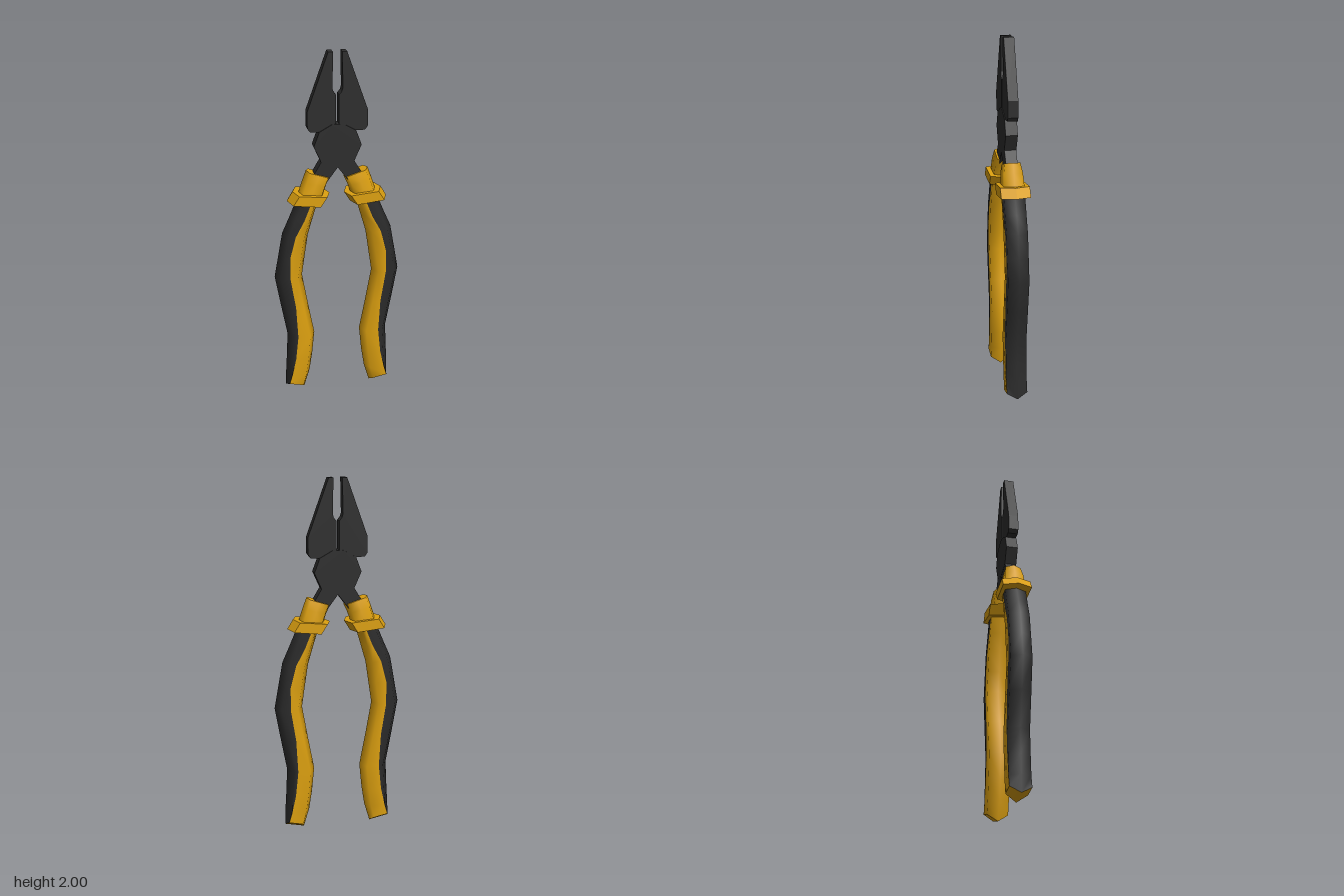
import * as THREE from 'three';

const steel = new THREE.MeshStandardMaterial({ color: 0x2d2d2d });
steel.name = 'dark steel';
const rubber = new THREE.MeshStandardMaterial({ color: 0x2b2b2b });
rubber.name = 'black rubber';
const yellow = new THREE.MeshStandardMaterial({ color: 0xdca010 });
yellow.name = 'yellow plastic';

// Flat plate cut from an outline, centred on z = 0; side -1 mirrors it.
function plate(name, outline, depth, side = 1) {
  const shape = new THREE.Shape(outline.map(([x, y]) => new THREE.Vector2(x * side, y)));
  const geo = new THREE.ExtrudeGeometry(shape, { depth, bevelEnabled: false });
  geo.translate(0, 0, -depth / 2);
  const mesh = new THREE.Mesh(geo, steel);
  mesh.name = name;
  return mesh;
}

// Six-sided section from the outer ridge to the inner ridge, with an extra point on each
// flat face where the colour changes. lift raises the shoulders above the ridges.
function section({ outer, inner, z, border, inset = 0.13, lift = 0 }, side) {
  const width = outer[0] - inner[0];
  const b = border === undefined ? 0.5 : Math.max(inset + 0.02, (outer[0] - border) / width);
  const at = (t, pz) => [
    side * (outer[0] - width * t),
    outer[1] + (inner[1] - outer[1]) * t + (pz ? lift : 0),
    pz,
  ];
  const far = 1 - inset;
  return [at(0, 0), at(inset, z), at(b, z), at(far, z),
    at(1, 0), at(far, -z), at(b, -z), at(inset, -z)];
}

// Skin sections listed from top to bottom; strips in blackStrips use the second material.
function loft(rows, side, { blackStrips = [], top = false, bottom = false, flat = false } = {}) {
  const rings = rows.map((row) => section(row, side));
  const n = rings[0].length;
  const points = rings.flat();
  const faces = [[], []];
  const add = (group, a, b, c) => faces[group].push(...(side > 0 ? [a, b, c] : [a, c, b]));
  for (let r = 0; r < rings.length - 1; r++) {
    for (let k = 0; k < n; k++) {
      const a = r * n + k, b = r * n + ((k + 1) % n);
      const group = blackStrips.includes(k) ? 1 : 0;
      add(group, a, b, a + n);
      add(group, b, b + n, a + n);
    }
  }
  const cap = (ring, isTop) => {
    const start = points.length;
    const mid = [0, 1, 2].map((i) => (ring[0][i] + ring[4][i]) / 2);
    points.push(...ring, mid);
    for (let k = 0; k < n; k++) {
      const a = start + k, b = start + ((k + 1) % n);
      if (isTop) add(0, start + n, b, a);
      else add(0, start + n, a, b);
    }
  };
  if (top) cap(rings[0], true);
  if (bottom) cap(rings[rings.length - 1], false);

  let geo = new THREE.BufferGeometry();
  geo.setAttribute('position', new THREE.Float32BufferAttribute(points.flat(), 3));
  geo.setIndex([...faces[0], ...faces[1]]);
  if (flat) geo = geo.toNonIndexed();
  geo.computeVertexNormals();
  if (blackStrips.length) {
    geo.addGroup(0, faces[0].length, 0);
    geo.addGroup(faces[0].length, faces[1].length, 1);
  }
  return geo;
}

// Grip path: outer x, y, inner x, y, x of the colour border
const gripRows = [
  [0.225, 1.19, 0.105, 1.18, 0.15],
  [0.267, 1.09, 0.135, 1.08, 0.19],
  [0.307, 1.0, 0.164, 0.98, 0.24],
  [0.331, 0.87, 0.182, 0.86, 0.272],
  [0.355, 0.737, 0.2, 0.737, 0.273],
  [0.325, 0.56, 0.168, 0.55, 0.245],
  [0.29, 0.366, 0.133, 0.361, 0.235],
  [0.297, 0.22, 0.147, 0.22, 0.25],
  [0.303, 0.12, 0.164, 0.11, 0.28],
].map(([ox, oy, ix, iy, border]) => ({ outer: [ox, oy], inner: [ix, iy], z: 0.058, border, inset: 0.2 }));
gripRows.push({ outer: [0.305, 0.025], inner: [0.196, 0.002], z: 0.058, border: 0.29, inset: 0.12, lift: 0.035 });

const sleeveRows = [
  { outer: [0.17, 1.358], inner: [0.037, 1.315], z: 0.042 },
  { outer: [0.19, 1.305], inner: [0.058, 1.27], z: 0.052 },
  { outer: [0.225, 1.2], inner: [0.085, 1.19], z: 0.058 },
];

const collarRows = [
  { outer: [0.245, 1.24], inner: [0.04, 1.22], z: 0.08 },
  { outer: [0.277, 1.188], inner: [0.075, 1.165], z: 0.08 },
];

const jawOutline = [
  [0.008, 1.6], [0.1, 1.576], [0.148, 1.576], [0.163, 1.597], [0.163, 1.687],
  [0.05, 2], [0.024, 2], [0.028, 1.81], [0.022, 1.79], [0.008, 1.773],
];

const armOutline = [[0, 1.374], [0.07, 1.28], [0.155, 1.3], [0.09, 1.408], [0, 1.45]];

const pivotHalf = [[0.03, 1.615], [0.1, 1.576], [0.13, 1.496], [0.09, 1.405]];

export function createModel() {
  const model = new THREE.Group();
  model.name = 'pliers';

  // Joint between the two halves
  const mirrored = pivotHalf.map(([x, y]) => [-x, y]).reverse();
  model.add(plate('pivotBody', [...pivotHalf, [0, 1.374], ...mirrored], 0.066));

  // Mirrored halves
  for (const side of [1, -1]) {
    const half = new THREE.Group();
    half.name = side > 0 ? 'leftHalf' : 'rightHalf';
    half.add(plate('jaw', jawOutline, 0.056, side));
    half.add(plate('arm', armOutline, 0.064, side));

    const part = (name, geo, material) => {
      const mesh = new THREE.Mesh(geo, material);
      mesh.name = name;
      half.add(mesh);
    };
    part('sleeve', loft(sleeveRows, side, { top: true }), yellow);
    part('collar', loft(collarRows, side, { top: true, bottom: true, flat: true }), yellow);
    part('grip', loft(gripRows, side, { blackStrips: [0, 1, 6, 7], bottom: true }), [yellow, rubber]);
    model.add(half);
  }
  return model;
}
